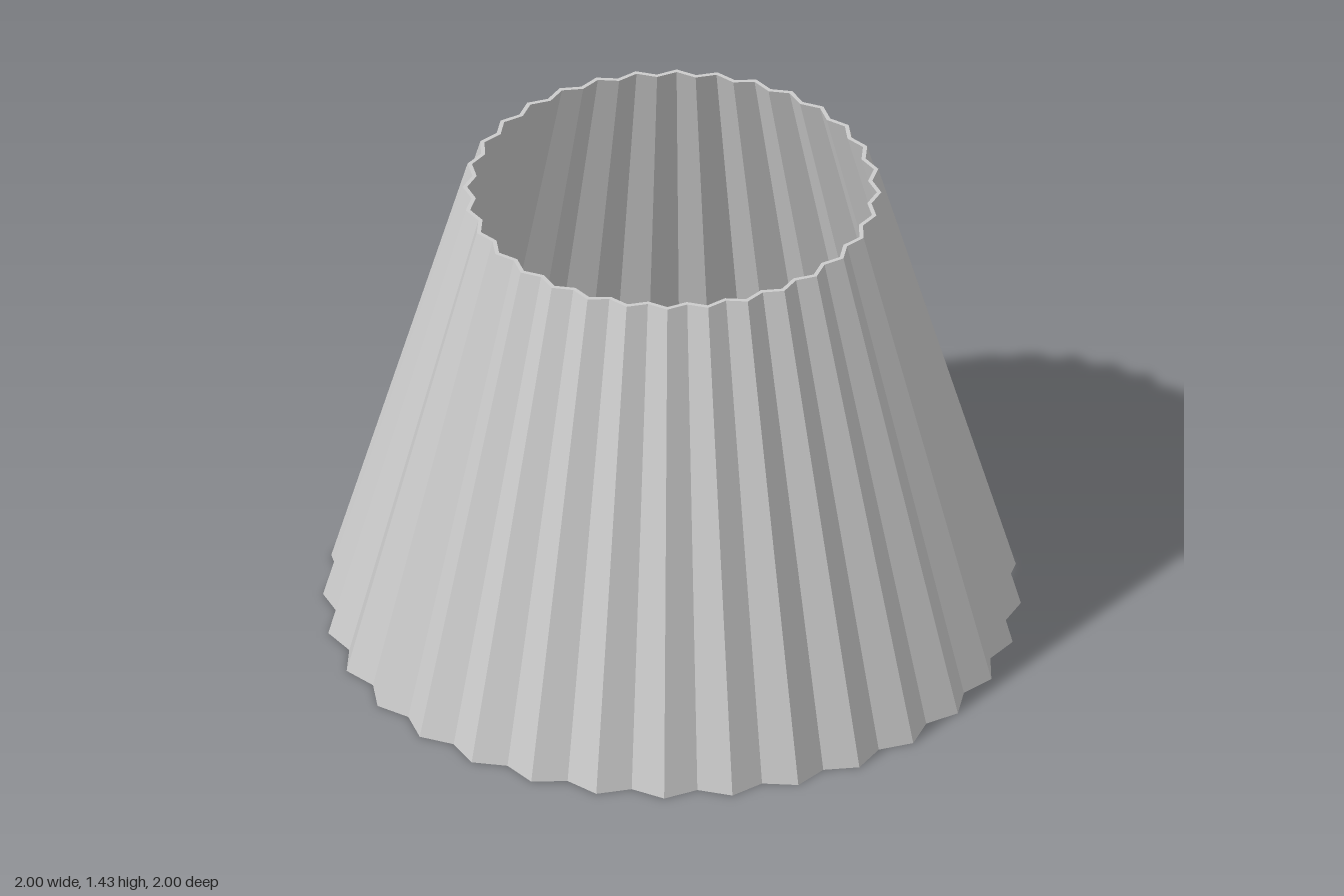
import * as THREE from 'three';

const PLEATS = 32;
const HEIGHT = 1.43;
const THICKNESS = 0.013;
const VALLEY = 0.96; // radius of the inward folds relative to the outward folds

export function createModel() {
  const group = new THREE.Group();
  group.name = 'pleatedLampshade';

  // Closed wall section: outer face, top rim, inner face, bottom rim
  const section = [
    [1, 0],
    [0.6, HEIGHT],
    [0.6 - THICKNESS, HEIGHT],
    [1 - THICKNESS, 0],
    [1, 0],
  ].map(([r, y]) => new THREE.Vector2(r, y));
  const geometry = new THREE.LatheGeometry(section, PLEATS * 2);

  // Pull every second column of the wall inward to fold the pleats
  const pos = geometry.attributes.position;
  for (let i = 0; i < pos.count; i++) {
    const column = Math.floor(i / section.length);
    if (column % 2 === 1) pos.setXYZ(i, pos.getX(i) * VALLEY, pos.getY(i), pos.getZ(i) * VALLEY);
  }
  geometry.computeVertexNormals();

  const shade = new THREE.Mesh(
    geometry,
    new THREE.MeshStandardMaterial({ color: 0xcccccc, flatShading: true })
  );
  shade.name = 'shade';
  group.add(shade);
  return group;
}
